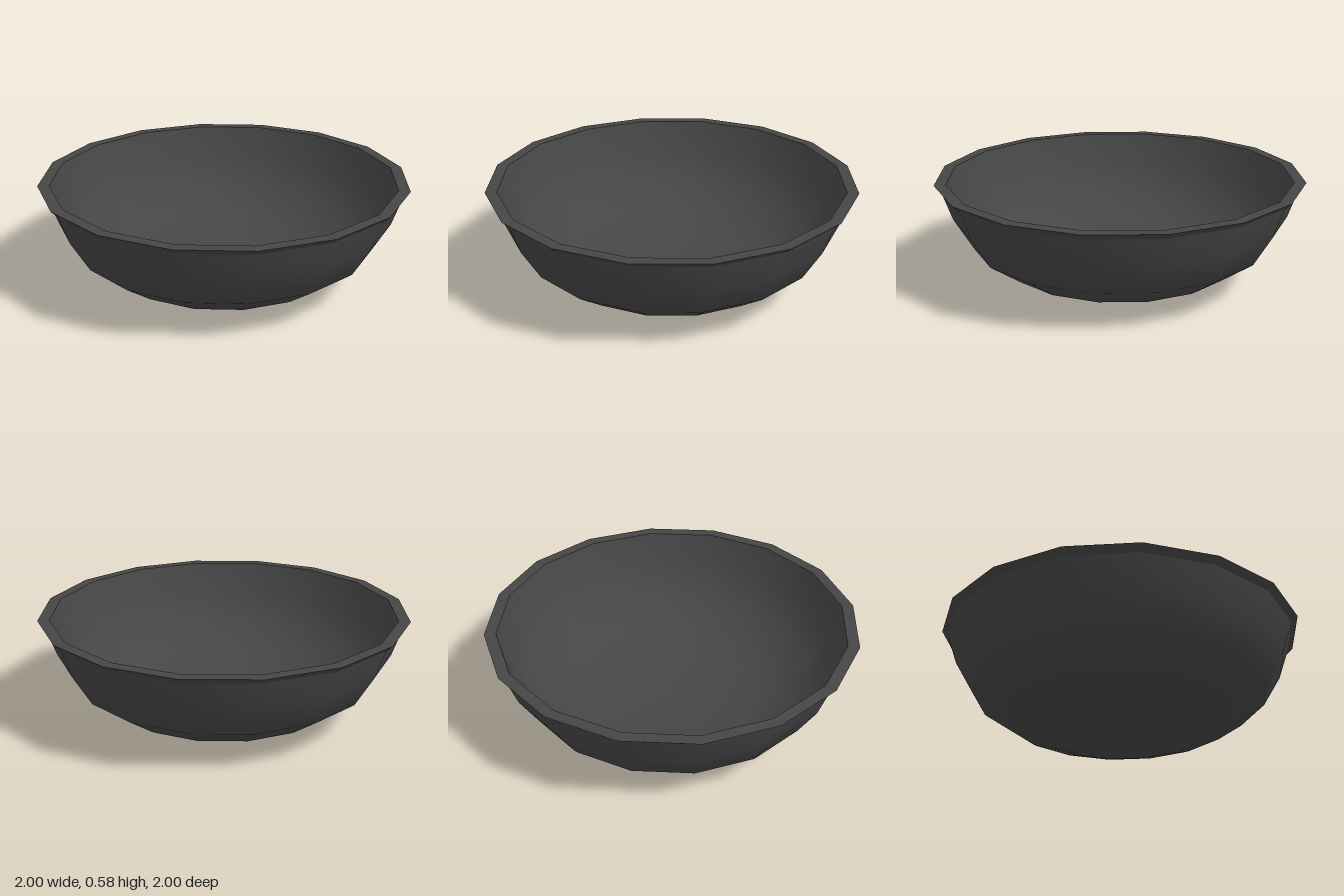
import * as THREE from 'three';

const SIDES = 16;

// Smooth 16-sided surface of revolution from [radius, height] pairs
function turned(name, profile, material) {
  const points = profile.map(([r, y]) => new THREE.Vector2(r, y));
  const mesh = new THREE.Mesh(new THREE.LatheGeometry(points, SIDES), material);
  mesh.name = name;
  return mesh;
}

export function createModel() {
  const bowl = new THREE.Group();
  bowl.name = 'bowl';
  const charcoal = new THREE.MeshStandardMaterial({ color: 0x464646 });
  charcoal.name = 'charcoal';

  // Rounded outside, from the flat base up to the underside of the lip
  bowl.add(turned('outerWall', [
    [0, 0], [0.23, 0.003], [0.47, 0.04], [0.64, 0.1], [0.81, 0.22], [0.91, 0.39], [0.965, 0.55],
  ], charcoal));

  // Flared lip and its flat top
  bowl.add(turned('lipUnderside', [[0.965, 0.55], [1, 0.583]], charcoal));
  bowl.add(turned('rim', [[1, 0.583], [0.938, 0.583]], charcoal));

  // Hollow inside, from the rim down to the middle
  bowl.add(turned('innerWall', [
    [0.938, 0.583], [0.88, 0.4], [0.785, 0.245], [0.62, 0.13], [0.46, 0.073], [0.225, 0.038], [0, 0.035],
  ], charcoal));

  return bowl;
}
